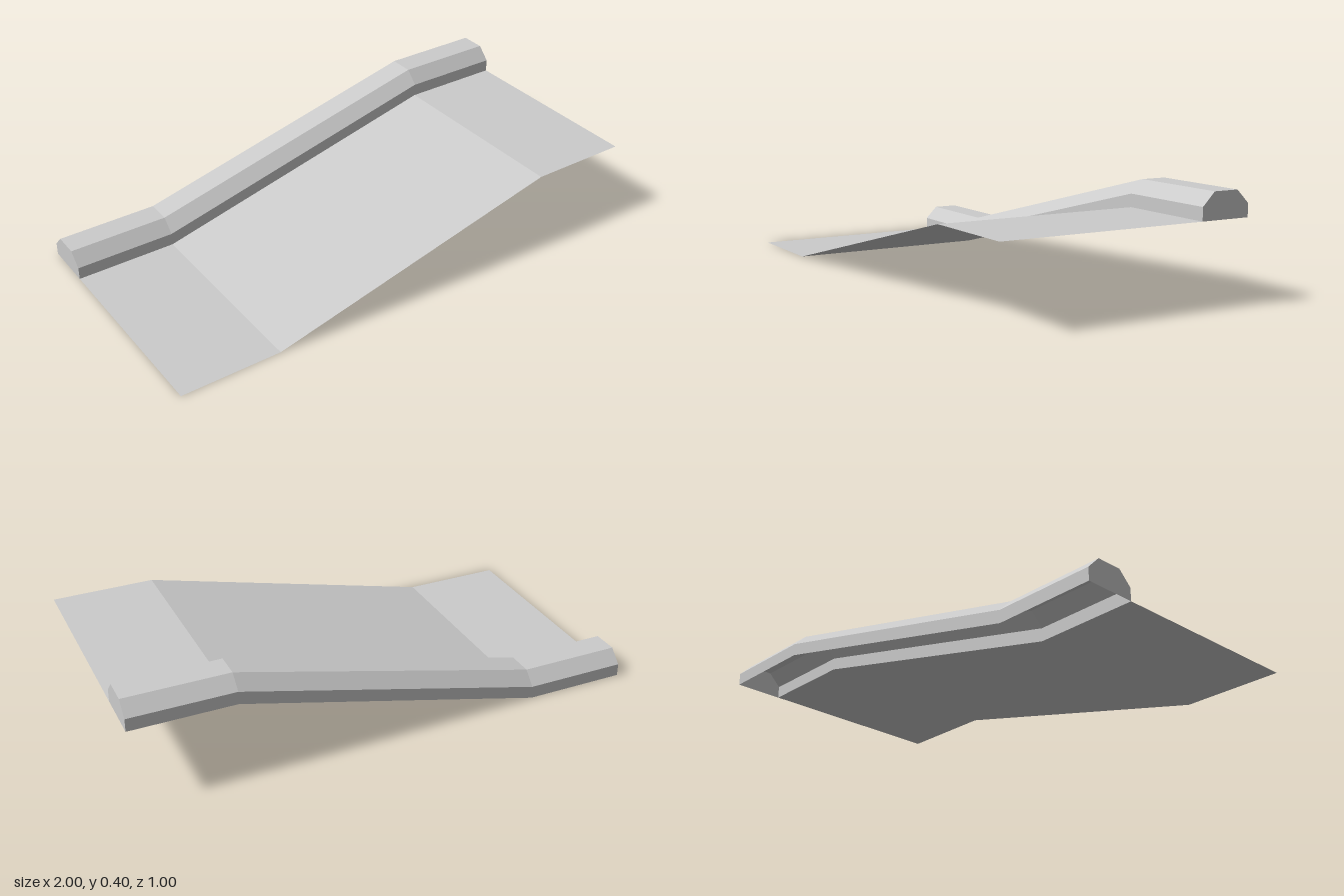
import * as THREE from 'three';

// Side path of the ramp as [x, y]: low landing, slope, high landing
const PATH = [[-1, 0], [-0.6, 0], [0.6, 0.3], [1, 0.3]];

// Sweeps an open [z, y] profile along the path, keeping its ends vertical
function sweep(name, profile, capped) {
  const positions = [];
  const point = ([x, base], [z, y]) => [x, base + y, z];
  const triangle = (a, b, c) => positions.push(...a, ...b, ...c);

  for (let i = 0; i < PATH.length - 1; i++) {
    for (let j = 0; j < profile.length - 1; j++) {
      const a = point(PATH[i], profile[j]);
      const b = point(PATH[i + 1], profile[j]);
      const c = point(PATH[i + 1], profile[j + 1]);
      const d = point(PATH[i], profile[j + 1]);
      triangle(a, b, c);
      triangle(a, c, d);
    }
  }

  // End caps, fanned from the first profile point
  if (capped) {
    const low = profile.map((p) => point(PATH[0], p));
    const high = profile.map((p) => point(PATH[PATH.length - 1], p));
    for (let j = 1; j < profile.length - 1; j++) {
      triangle(low[0], low[j], low[j + 1]);
      triangle(high[0], high[j + 1], high[j]);
    }
  }

  const geometry = new THREE.BufferGeometry();
  geometry.setAttribute('position', new THREE.Float32BufferAttribute(positions, 3));
  geometry.computeVertexNormals();
  const material = new THREE.MeshStandardMaterial({
    color: 0xcccccc, flatShading: true, side: THREE.DoubleSide,
  });
  const mesh = new THREE.Mesh(geometry, material);
  mesh.name = name;
  return mesh;
}

export function createModel() {
  const group = new THREE.Group();
  group.name = 'rampWithKerb';

  // Thin ramp surface
  group.add(sweep('rampSurface', [[0.5, 0], [-0.3, 0]], false));

  // Chamfered kerb along the back edge, open underneath
  group.add(sweep('kerb', [
    [-0.3, 0], [-0.3, 0.05], [-0.35, 0.1], [-0.45, 0.1], [-0.5, 0.05], [-0.5, 0],
  ], true));

  return group;
}
